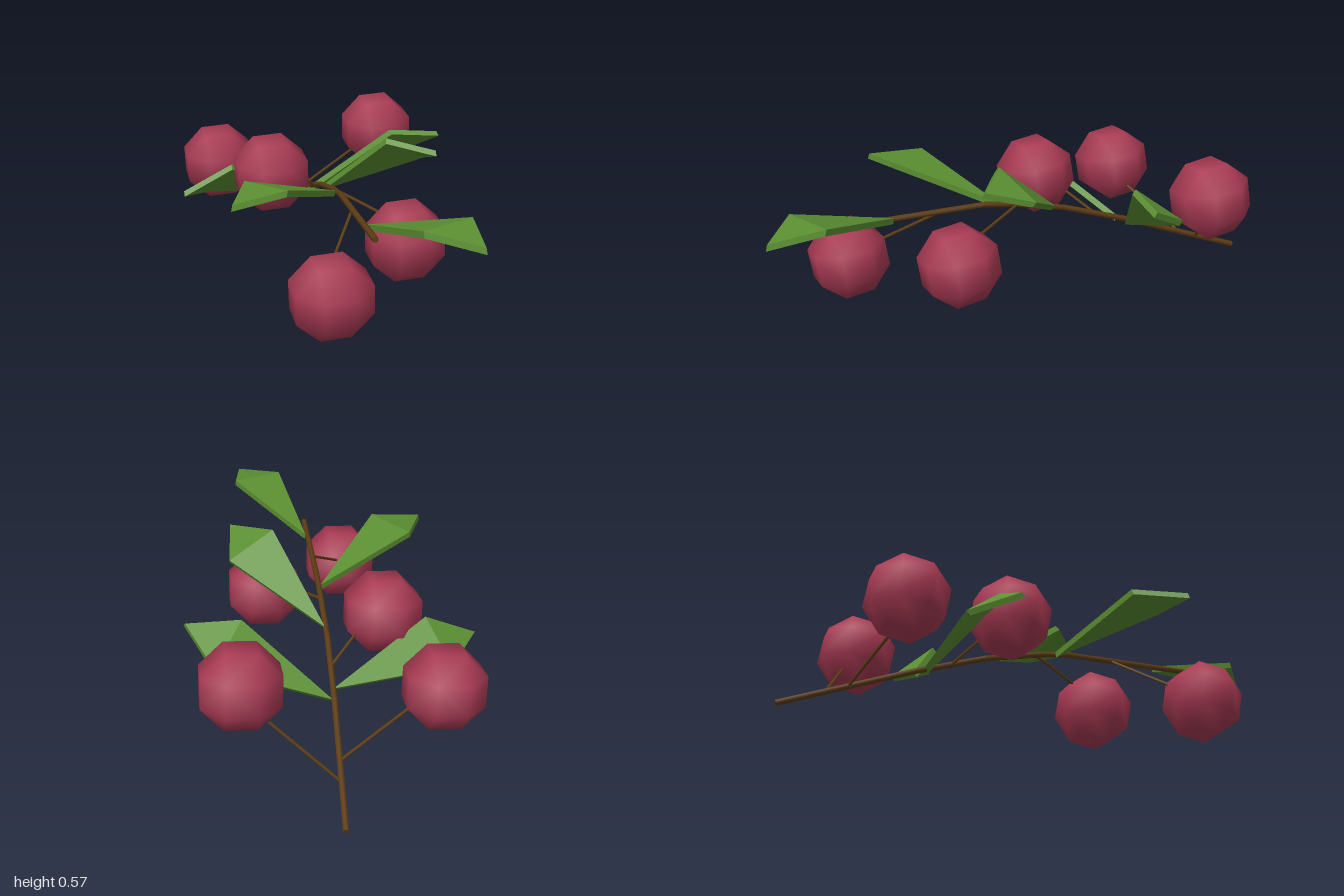
import * as THREE from 'three';
import { ConvexGeometry } from 'three/addons/geometries/ConvexGeometry.js';

const V = (p) => new THREE.Vector3(...p);

// Straight rod between two points
function rod(a, b, radius, material, name) {
  const start = V(a), dir = V(b).sub(start);
  const mesh = new THREE.Mesh(new THREE.CylinderGeometry(radius, radius, dir.length(), 6), material);
  mesh.position.copy(start).addScaledVector(dir, 0.5);
  mesh.quaternion.setFromUnitVectors(new THREE.Vector3(0, 1, 0), dir.normalize());
  mesh.name = name;
  return mesh;
}

// Ball of 24 corners with smooth normals, eight-sided along each axis
function berryGeometry(half) {
  const s = half / (1 + Math.SQRT2), points = [];
  for (const x of [-s, s]) for (const y of [-s, s]) for (const z of [-s, s]) {
    const k = 1 + Math.SQRT2;
    points.push(V([x * k, y, z]), V([x, y * k, z]), V([x, y, z * k]));
  }
  const geo = new ConvexGeometry(points);
  const pos = geo.attributes.position, n = new THREE.Vector3();
  for (let i = 0; i < pos.count; i++) {
    n.fromBufferAttribute(pos, i).normalize();
    geo.attributes.normal.setXYZ(i, n.x, n.y, n.z);
  }
  return geo;
}

// Thick kite-shaped leaf, bent across its widest line
function leafGeometry([base, sideA, tip, sideB], thickness) {
  let top = [base, sideA, tip, sideB].map(V);
  const normalOf = (t) => t[1].clone().sub(t[0]).cross(t[3].clone().sub(t[0])).normalize();
  let n = normalOf(top);
  if (n.y < 0) {
    top = [top[0], top[3], top[2], top[1]];
    n = normalOf(top);
  }
  const low = top.map((p) => p.clone().addScaledVector(n, -thickness));
  const tris = [top[0], top[1], top[3], top[1], top[2], top[3],
    low[0], low[3], low[1], low[1], low[3], low[2]];
  for (let i = 0; i < 4; i++) {
    const j = (i + 1) % 4;
    tris.push(top[i], low[i], low[j], top[i], low[j], top[j]);
  }
  const geo = new THREE.BufferGeometry().setFromPoints(tris);
  geo.computeVertexNormals();
  return geo;
}

export function createModel() {
  const bark = new THREE.MeshStandardMaterial({ color: 0x5e3d14, name: 'bark brown' });
  const green = new THREE.MeshStandardMaterial({ color: 0x5b8f32, name: 'leaf green' });
  const red = new THREE.MeshStandardMaterial({ color: 0xa83a53, name: 'berry red' });
  const model = new THREE.Group();
  model.name = 'berryBranch';

  // Main stem
  const path = [[0.01, 0.013, -0.995], [0.01, 0.205, -0.49], [0.015, 0.295, -0.22],
    [0.025, 0.345, 0], [0.03, 0.362, 0.12], [0.053, 0.364, 0.62]];
  const stem = new THREE.Group();
  stem.name = 'stem';
  for (let i = 1; i < path.length; i++) stem.add(rod(path[i - 1], path[i], 0.012, bark, 'stemSection'));
  model.add(stem);

  // Berries: centre, then twig start and end
  const ball = berryGeometry(0.138);
  const berries = [
    [[0.34, 0.395, -0.68], [0.01, 0.08, -0.82], [0.25, 0.285, -0.74]],
    [[-0.365, 0.305, -0.6], [0.01, 0.11, -0.74], [-0.27, 0.25, -0.61]],
    [[-0.195, 0.372, -0.18], [0.01, 0.25, -0.355], [-0.11, 0.345, -0.24]],
    [[0.24, 0.228, 0.29], [0.025, 0.342, -0.02], [0.18, 0.3, 0.2]],
    [[-0.1, 0.168, 0.625], [0.035, 0.36, 0.3], [-0.09, 0.22, 0.52]],
  ];
  for (const [centre, from, to] of berries) {
    const berry = new THREE.Mesh(ball, red);
    berry.name = 'berry';
    berry.position.set(...centre);
    berry.rotation.set(0.15, 0.07, 0.05);
    model.add(berry, rod(from, to, 0.006, bark, 'twig'));
  }

  // Leaves: base, side corner, tip, other side corner
  const leaves = [
    [[0.015, 0.2, -0.5], [0.43, 0.36, -0.52], [0.53, 0.455, -0.36], [0.33, 0.468, -0.37]],
    [[0.01, 0.22, -0.46], [-0.43, 0.255, -0.4], [-0.54, 0.295, -0.23], [-0.345, 0.387, -0.26]],
    [[0.02, 0.31, -0.18], [0.37, 0.49, 0.04], [0.365, 0.55, 0.23], [0.2, 0.575, 0.12]],
    [[0.02, 0.36, 0.06], [-0.35, 0.48, 0.25], [-0.415, 0.46, 0.45], [-0.215, 0.488, 0.41]],
    [[0.055, 0.37, 0.48], [0.34, 0.488, 0.79], [0.325, 0.457, 0.99], [0.15, 0.483, 0.88]],
  ];
  for (const corners of leaves) {
    const leaf = new THREE.Mesh(leafGeometry(corners, 0.024), green);
    leaf.name = 'leaf';
    model.add(leaf);
  }
  return model;
}
